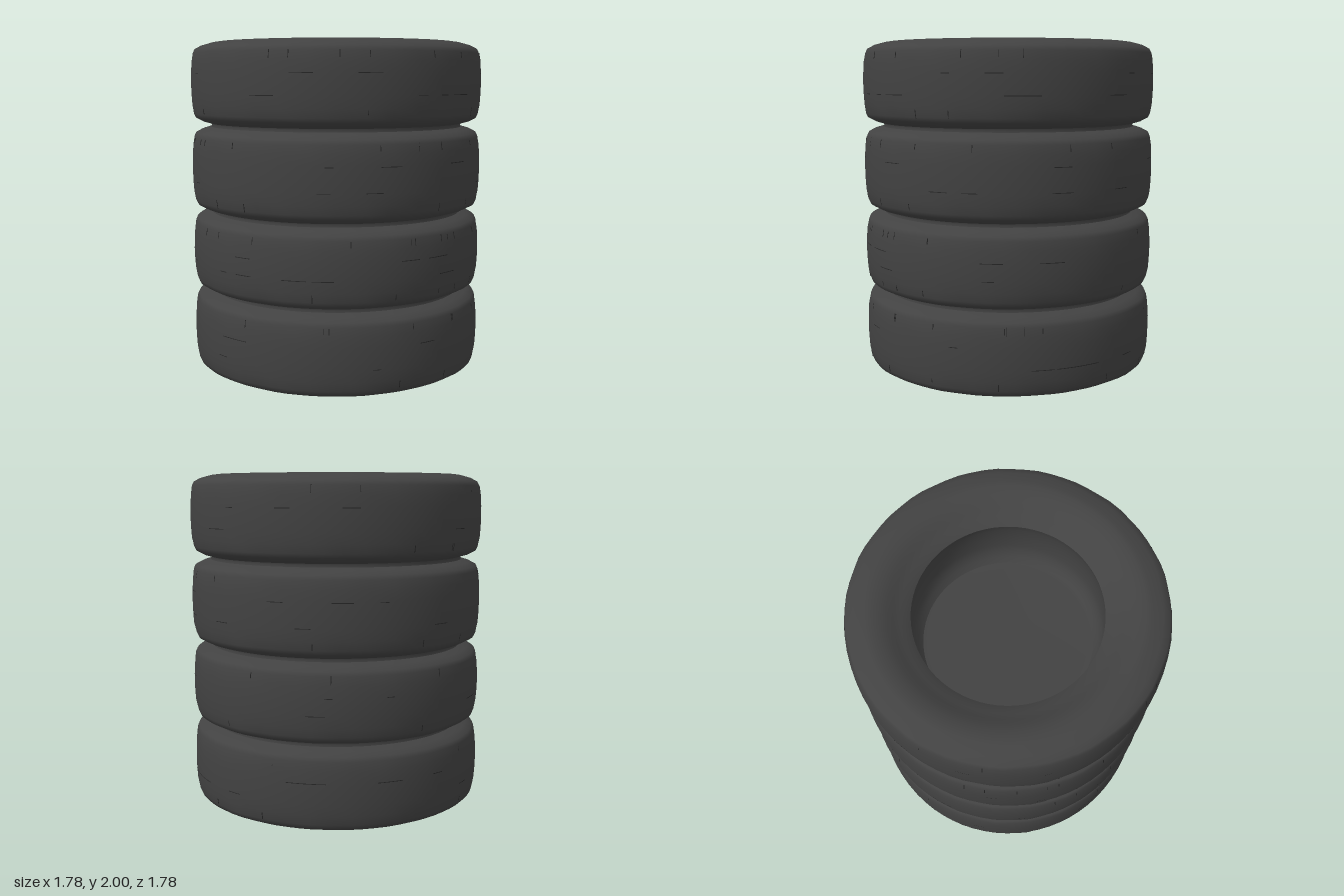
import * as THREE from 'three';
import { mergeVertices } from 'three/addons/utils/BufferGeometryUtils.js';

const rubber = new THREE.MeshStandardMaterial({ color: 0x424242 });
rubber.name = 'worn rubber';
const cutDark = new THREE.MeshStandardMaterial({ color: 0x262626 });
cutDark.name = 'dark tread cut';

const SEGMENTS = 72;
// Heights of the seams between the stacked tyres
const SEAMS = [0, 0.5, 0.98, 1.5, 2];

function seeded(seed) {
  let s = seed;
  return () => (s = (s * 16807) % 2147483647) / 2147483647;
}

function lathe(profile, name) {
  const points = profile.map(([r, y]) => new THREE.Vector2(r, y));
  const mesh = new THREE.Mesh(new THREE.LatheGeometry(points, SEGMENTS), rubber);
  mesh.name = name;
  return mesh;
}

// Half of the tyre section, from the bead out towards the middle of the tread
const half = [
  [0.525, 0.1], [0.55, 0.082], [0.58, 0.068], [0.615, 0.05], [0.645, 0.028],
  [0.685, 0.012], [0.73, 0.002], [0.765, 0.007], [0.825, 0.024], [0.865, 0.045],
  [0.876, 0.07], [0.885, 0.12], [0.889, 0.18],
];

function makeTyre(index) {
  const rand = seeded(911 + index * 5077);
  const height = SEAMS[index + 1] - SEAMS[index];
  // Only the bottom tyre shows its lower bead
  const lower = index === 0 ? half : half.slice(3);
  const upper = half.map(([r, y]) => [r, height - y]).reverse();
  const body = lathe([...lower, [0.891, height / 2], ...upper], 'tyreBody');

  // Worn, slightly uneven shoulders
  const geo = body.geometry;
  const pos = geo.attributes.position;
  const phase = rand() * 6.28;
  for (let i = 0; i < pos.count; i++) {
    const x = pos.getX(i), y = pos.getY(i), z = pos.getZ(i);
    const r = Math.hypot(x, z), a = Math.atan2(z, x);
    if (r < 0.78 || r > 0.88) continue;
    const wear = Math.sin(a * 9 + phase) * Math.sin(a * 4 + y * 9) + 0.6 * Math.sin(a * 23 + phase * 2);
    const k = 1 - 0.003 * wear;
    pos.setX(i, x * k);
    pos.setZ(i, z * k);
  }
  geo.deleteAttribute('uv');
  geo.deleteAttribute('normal');
  body.geometry = mergeVertices(geo, 1e-4);
  body.geometry.computeVertexNormals();

  const tyre = new THREE.Group();
  tyre.name = 'tyre' + (index + 1);
  tyre.add(body);

  // Short remains of the circumferential tread grooves
  for (const y of [0.19, height - 0.19]) {
    for (let i = 0; i < 9; i++) {
      const cut = new THREE.Mesh(
        new THREE.CylinderGeometry(0.8915, 0.8915, 0.004, 6, 1, true, rand() * 6.28, 0.05 + rand() * 0.12),
        cutDark);
      cut.position.y = y;
      cut.name = 'grooveCut';
      tyre.add(cut);
    }
  }

  // Small upright nicks along the tread edges
  for (let i = 0; i < 20; i++) {
    const top = i % 3 !== 0;
    const nick = new THREE.Mesh(new THREE.BoxGeometry(0.004, 0.03 + rand() * 0.02, 0.006), cutDark);
    const a = rand() * 6.28;
    nick.position.set(Math.sin(a) * 0.878, top ? height - 0.09 : 0.09, Math.cos(a) * 0.878);
    nick.rotation.set(top ? -0.17 : 0.17, a, 0, 'YXZ');
    nick.name = 'shoulderNick';
    tyre.add(nick);
  }
  tyre.position.y = SEAMS[index];
  return tyre;
}

export function createModel() {
  const stack = new THREE.Group();
  stack.name = 'tyreStack';
  for (let i = 0; i < 4; i++) stack.add(makeTyre(i));

  // Pressed contact between neighbouring tyres
  for (const y of SEAMS.slice(1, 4)) {
    const band = lathe([[0.785, y - 0.025], [0.768, y], [0.785, y + 0.025]], 'contactBand');
    stack.add(band);
  }

  // Opening of the top tyre: inner wall, curving in to the lower lip
  stack.add(lathe([
    [0.525, 1.9], [0.53, 1.88], [0.542, 1.83], [0.548, 1.74],
    [0.545, 1.65], [0.535, 1.6], [0.515, 1.56], [0.49, 1.53],
  ], 'topOpeningWall'));
  // Closed floor below the lip
  stack.add(lathe([[0.5, 1.515], [0.46, 1.508], [0, 1.505]], 'openingFloor'));
  // Recessed cap under the bottom tyre
  stack.add(lathe([[0, 0.105], [0.48, 0.105], [0.505, 0.1], [0.525, 0.1]], 'bottomCap'));
  return stack;
}
